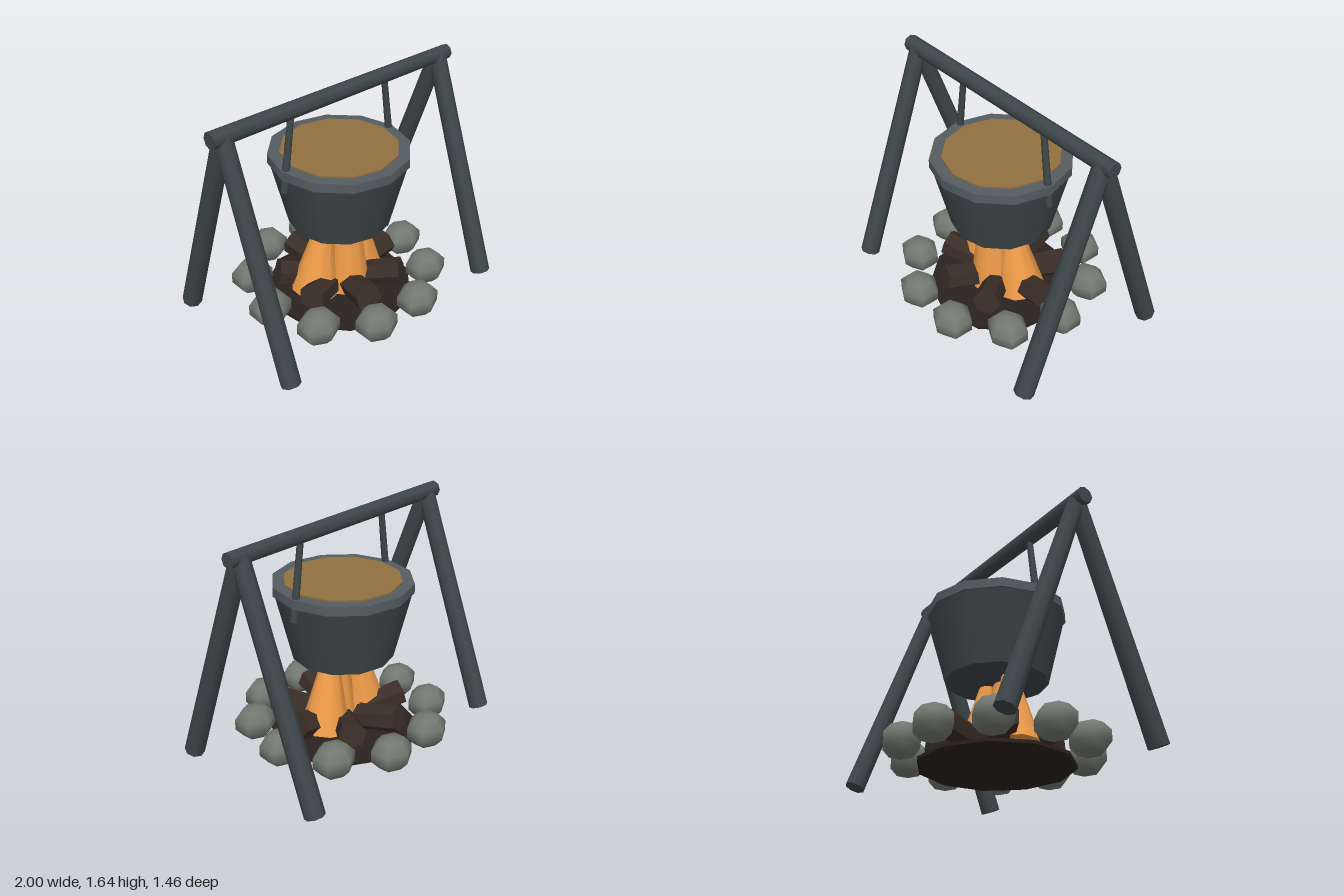
import * as THREE from 'three';

const material = (color, extra = {}) => new THREE.MeshStandardMaterial({ color, ...extra });
const iron = material(0x3e474a);
const rimIron = material(0x545d61);
const soupBrown = material(0x92703f);
const flameOrange = material(0xf09c48);
const bark = material(0x3a2d27, { flatShading: true });
const stoneGrey = material(0x737970);
const ash = material(0x2b221e);

const UP = new THREE.Vector3(0, 1, 0);

export function createModel() {
  const model = new THREE.Group();

  const add = (name, geometry, mat, parent = model) => {
    const mesh = new THREE.Mesh(geometry, mat);
    mesh.name = name;
    parent.add(mesh);
    return mesh;
  };

  const group = (name) => {
    const g = new THREE.Group();
    g.name = name;
    model.add(g);
    return g;
  };

  // Tapered cylinder running from point a (radius ra) to point b (radius rb)
  const rod = (name, a, b, ra, rb, sides, mat, parent) => {
    const start = new THREE.Vector3(...a);
    const end = new THREE.Vector3(...b);
    const axis = end.clone().sub(start);
    const mesh = add(name, new THREE.CylinderGeometry(rb, ra, axis.length(), sides), mat, parent);
    mesh.position.copy(start).add(end).multiplyScalar(0.5);
    mesh.quaternion.setFromUnitVectors(UP, axis.normalize());
    return mesh;
  };

  const drum = (name, rTop, rBottom, y0, y1, sides, mat, parent) => {
    const mesh = add(name, new THREE.CylinderGeometry(rTop, rBottom, y1 - y0, sides), mat, parent);
    mesh.position.y = (y0 + y1) / 2;
    return mesh;
  };

  // Frame: two A-shaped supports and a crossbar
  const frame = group('frame');
  rod('crossbar', [-1, 1.583, 0], [1, 1.583, 0], 0.058, 0.052, 8, iron, frame);
  for (const x of [-0.907, 0.907]) {
    for (const side of [-1, 1]) {
      rod('frameLeg', [x, 0.025, side * 0.568], [x, 1.58, 0], 0.07, 0.061, 8, iron, frame);
    }
  }

  // Cooking pot with rim, contents and hanger rods
  const pot = group('pot');
  drum('potBody', 0.475, 0.355, 0.63, 1.12, 12, iron, pot);
  drum('potRim', 0.486, 0.486, 1.11, 1.175, 12, rimIron, pot);
  drum('soup', 0.405, 0.405, 1.15, 1.185, 12, soupBrown, pot);
  for (const side of [-1, 1]) {
    rod('potHanger', [side * 0.474, 1.018, 0], [side * 0.395, 1.58, 0], 0.026, 0.021, 8, iron, pot);
  }

  // Fire: scorched ground, flames and radiating logs
  const fire = group('fire');
  drum('ashBed', 0.53, 0.53, 0.03, 0.053, 11, ash, fire);
  rod('flame', [0, 0.1, 0.08], [0, 0.72, 0.085], 0.165, 0.082, 10, flameOrange, fire);
  rod('flame', [-0.22, 0.11, -0.01], [-0.13, 0.72, 0.01], 0.175, 0.035, 10, flameOrange, fire);
  rod('flame', [0.2, 0.11, -0.01], [0.105, 0.72, 0.01], 0.175, 0.035, 10, flameOrange, fire);

  const logCount = 7;
  for (let i = 0; i < logCount; i++) {
    const angle = -0.26 + (i / logCount) * Math.PI * 2;
    const s = Math.sin(angle);
    const c = Math.cos(angle);
    rod('log', [s * 0.13, 0.15, c * 0.13], [s * 0.45, 0.225, c * 0.45], 0.088, 0.098, 6, bark, fire);
  }

  // Ring of ten rounded stones
  const stones = group('stoneRing');
  const stoneShape = new THREE.SphereGeometry(1, 6, 5)
    .rotateY(Math.PI / 2)
    .scale(0.16, 0.123, 0.14);
  for (let i = 0; i < 10; i++) {
    const angle = (i / 10) * Math.PI * 2;
    const stone = add('stone', stoneShape, stoneGrey, stones);
    stone.position.set(Math.cos(angle) * 0.63, 0.155, Math.sin(angle) * 0.63);
  }

  return model;
}
